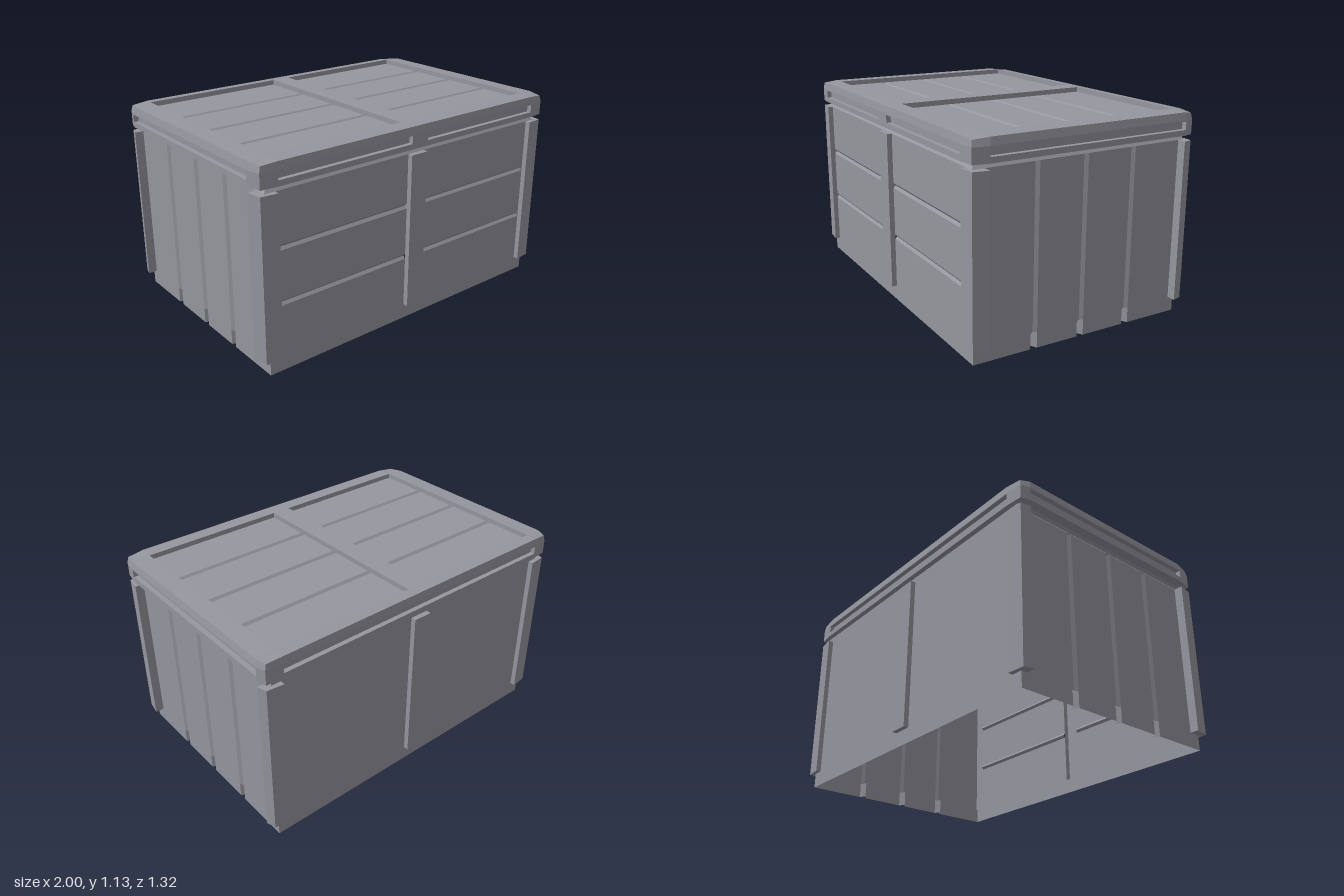
import * as THREE from 'three';

const mat = new THREE.MeshStandardMaterial({ color: 0x96969f, flatShading: true, side: THREE.DoubleSide });

// Skin through rows of points; every row has the same length.
function skin(rows) {
  const n = rows[0].length, index = [];
  for (let r = 0; r < rows.length - 1; r++) {
    for (let i = 0; i < n - 1; i++) {
      const a = r * n + i, b = a + n;
      index.push(a, a + 1, b, a + 1, b + 1, b);
    }
  }
  const g = new THREE.BufferGeometry();
  g.setAttribute('position', new THREE.Float32BufferAttribute(rows.flat(2), 3));
  g.setIndex(index);
  const flat = g.toNonIndexed();
  flat.computeVertexNormals();
  return flat;
}

// Rectangular ring, wound so that upward lofts face outward.
const ring = (x, zf, zb, y) => [[-x, y, zf], [x, y, zf], [x, y, zb], [-x, y, zb], [-x, y, zf]];

// Plank profile: [position, depth] pairs with a V groove at each centre.
function planks(from, to, centres, half, depth) {
  const pts = [[from, 0]];
  for (const c of centres) pts.push([c - half, 0], [c, depth], [c + half, 0]);
  return [...pts, [to, 0]];
}

export function createModel() {
  const root = new THREE.Group();
  const add = (name, geo) => {
    const m = new THREE.Mesh(geo, mat);
    m.name = name;
    root.add(m);
    return m;
  };
  const box = (name, [x0, x1], [y0, y1], [z0, z1]) =>
    add(name, new THREE.BoxGeometry(x1 - x0, y1 - y0, z1 - z0))
      .position.set((x0 + x1) / 2, (y0 + y1) / 2, (z0 + z1) / 2);

  const X = 0.95, Z = 0.633, top = 0.973, foot = 0.085;
  const xi = 0.89, zf = 0.567, zb = -0.599, mid = 0.055;

  // Front wall with horizontal plank grooves, plain back wall, both open behind the posts
  const front = planks(foot, top, [0.383, 0.681], 0.015, 0.012);
  for (const [a, b] of [[-xi, -mid], [mid, xi]]) {
    add('frontWall', skin(front.map(([y, d]) => [[a, y, Z - d], [b, y, Z - d]])));
    add('backWall', skin([foot, top].map(y => [[b, y, -Z], [a, y, -Z]])));
  }
  for (const s of [-1, 1]) {
    add('wallFoot', skin([0, foot].map(y => [[-s * X, y, s * Z], [s * X, y, s * Z]])));
  }

  // Side walls with vertical plank grooves, cut deeper at the foot
  for (const s of [-1, 1]) {
    for (const [y0, y1, z0, z1, depth] of [[0, foot, -Z, Z, 0.035], [foot, top, zb, zf, 0.011]]) {
      const side = planks(z0, z1, [-0.295, 0, 0.285], 0.02, depth);
      const rows = [y0, y1].map(y => side.map(([z, d]) => [s * (X - d), y, z]));
      add('sideWall', skin(s > 0 ? rows.reverse() : rows));
    }
  }

  // Hollow column: upright skin along an open outline, capped at both ends
  const column = (name, outline, inner, y0, y1) => {
    add(name, skin([y0, y1].map(y => outline.map(([x, z]) => [x, y, z]))));
    const shape = new THREE.Shape([...outline, ...inner].map(([x, z]) => new THREE.Vector2(x, -z)));
    for (const y of [y0, y1]) add(name + 'Cap', new THREE.ShapeGeometry(shape).rotateX(-Math.PI / 2).translate(0, y, 0));
  };

  // Corner posts and lid corners, their outer edge pulled in a little
  for (const sx of [-1, 1]) for (const sz of [-1, 1]) {
    const zi = sz > 0 ? zf : -zb;
    const flip = pts => pts.map(([x, z]) => [sx * x, sz * z]);
    const corner = (name, x, z, y0, y1) => column(name,
      flip([[xi, z], [xi, 0.662], [0.985, 0.653], [1, zi], [x, zi]]), flip([[x, z]]), y0, y1);
    corner('cornerPost', X, Z, foot, top);
    corner('lidCorner', 0.972, 0.636, 1.005, 1.085);
  }
  // Middle posts, front and back
  for (const s of [-1, 1]) {
    column('middlePost', [[-mid, s * Z], [-mid, s * 0.662], [mid, s * 0.662], [mid, s * Z]], [], foot, top);
  }

  // Pinched neck under the lid, underside and back of the lid slots
  add('neck', skin([
    ring(X, Z, -Z, top),
    ring(0.937, 0.62, -Z, 0.99),
    ring(X, Z, -Z, 1.005),
    ring(0.972, 0.636, -0.636, 1.005),
    ring(0.972, 0.636, -0.636, 1.085),
  ]));

  // Lid rails above and below the long slots
  for (const y of [[1.005, 1.035], [1.078, 1.085]]) {
    box('lidFrontRail', [-xi, xi], y, [0.636, 0.662]);
    box('lidBackRail', [-xi, xi], y, [-0.662, -0.636]);
    box('lidLeftRail', [0.972, 1], y, [zb, zf]);
    box('lidRightRail', [-1, -0.972], y, [zb, zf]);
  }
  box('lidFrontDivider', [-mid, mid], [1.035, 1.078], [0.636, 0.662]);

  // Lid top frame with dipped corners, dropping to the panel inside
  const floor = 1.102, clamp = THREE.MathUtils.clamp;
  const plan = [
    [-0.985, 0.653], [-xi, 0.662], [xi, 0.662], [0.985, 0.653], [1, zf], [1, zb],
    [0.985, -0.653], [xi, -0.662], [-xi, -0.662], [-0.985, -0.653], [-1, zb], [-1, zf], [-0.985, 0.653],
  ];
  const inside = y => plan.map(([x, z]) => [clamp(x, -xi, xi), y, clamp(z, zb, zf)]);
  add('lidFrame', skin([
    plan.map(([x, z]) => [x, 1.085, z]),
    plan.map(([x, z]) => [x * 0.992, Math.abs(x) === 0.985 ? 1.118 : 1.126, z * 0.992]),
    inside(1.13),
    inside(floor),
  ]));
  box('lidMiddleBar', [-mid, mid], [floor, 1.13], [zb, zf]);

  // Recessed lid panel with grooves across the width
  const panel = planks(zb, zf, [-0.301, -0.008, 0.282], 0.015, 0.012);
  add('lidPanel', skin(panel.map(([z, d]) => [[xi, floor - d, z], [-xi, floor - d, z]])));

  return root;
}
